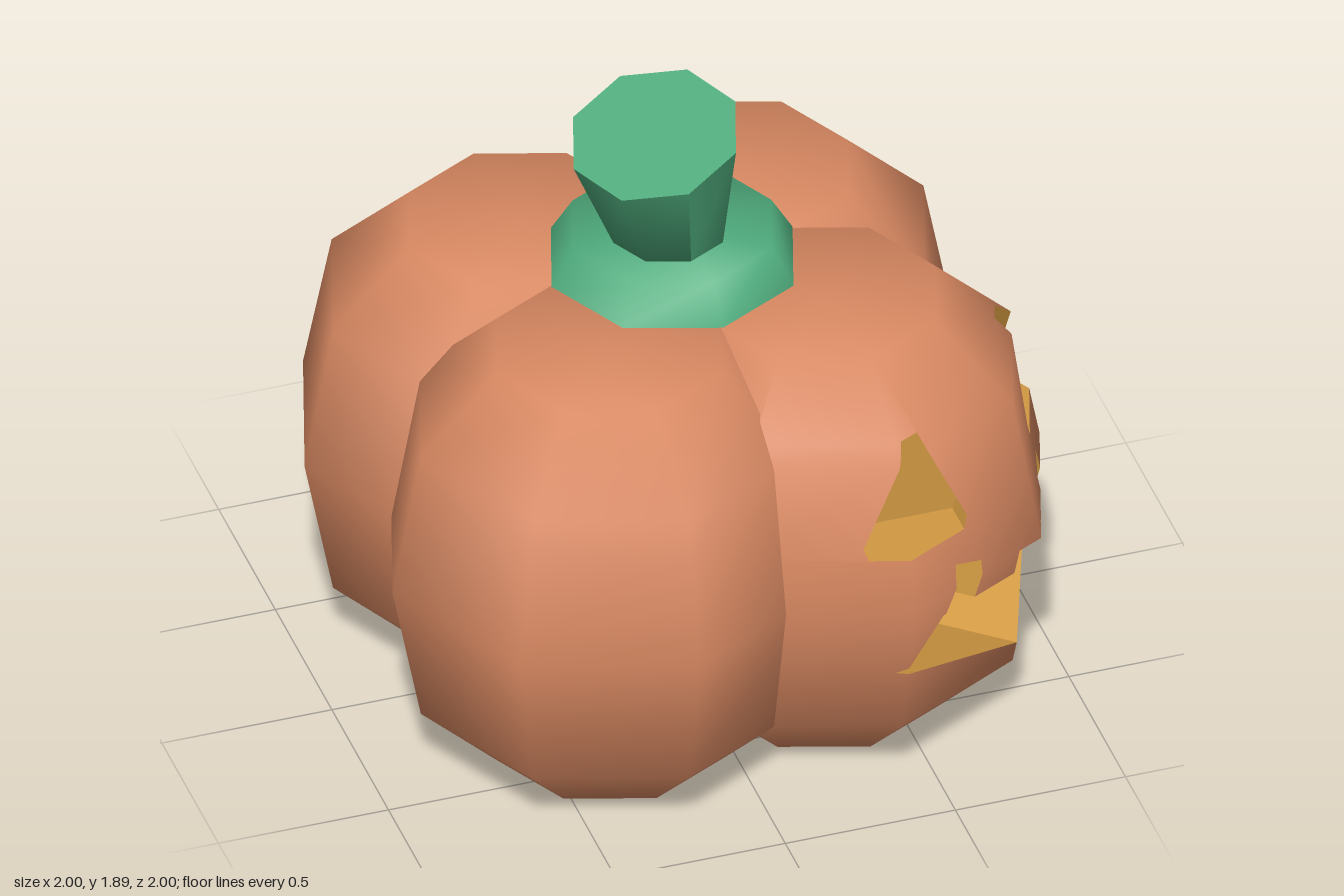
import * as THREE from 'three';
import { toCreasedNormals } from 'three/addons/utils/BufferGeometryUtils.js';

const V = (x, y, z) => new THREE.Vector3(x, y, z);
const UP = V(0, 1, 0);
const TURN = -4.6 * Math.PI / 180; // twist shared by lobes and stem
const CENTRE = V(0.344, 0, 0.3);
const RINGS = [[0.34, 0], [0.57, 0.225], [0.656, 0.667], [0.57, 1.11], [0.34, 1.333]];

// Corner of an eight-sided ring
const spoke = (k) => V(Math.cos(TURN + k * Math.PI / 4), 0, Math.sin(TURN + k * Math.PI / 4));
const vert = (p, n) => ({ p, n });

// Faces of one lobe: smooth sides and top, flat base
function lobeFaces() {
  const slope = (i) => { // outward normal of band i as [radial, up]
    const [r0, y0] = RINGS[i], [r1, y1] = RINGS[i + 1];
    const l = Math.hypot(y1 - y0, r0 - r1);
    return [(y1 - y0) / l, (r0 - r1) / l];
  };
  const point = (i, k) => {
    const a = i > 0 ? slope(i - 1) : slope(0);
    const b = i < 4 ? slope(i) : [0, 1];
    const n = spoke(k).multiplyScalar(a[0] + b[0]).addScaledVector(UP, a[1] + b[1]).normalize();
    const p = spoke(k).multiplyScalar(RINGS[i][0]).add(CENTRE).setY(RINGS[i][1]);
    return vert(p, n);
  };
  const faces = [], base = [];
  for (let k = 0; k < 8; k++) {
    for (let i = 0; i < 4; i++) {
      faces.push([point(i, k + 1), point(i, k), point(i + 1, k), point(i + 1, k + 1)]);
    }
    faces.push([point(4, k + 1), point(4, k), vert(CENTRE.clone().setY(1.333), UP.clone())]);
    base.push(vert(point(0, k).p, V(0, -1, 0)));
  }
  faces.push(base);
  return faces;
}

// Split a convex polygon by a plane into [outside, inside]
function split(poly, plane) {
  const out = [], inn = [];
  const dist = poly.map((v) => {
    const d = plane.distanceToPoint(v.p);
    return Math.abs(d) < 1e-6 ? 0 : d;
  });
  poly.forEach((a, i) => {
    const j = (i + 1) % poly.length, b = poly[j];
    if (dist[i] >= 0) out.push(a);
    if (dist[i] <= 0) inn.push(a);
    if (dist[i] * dist[j] < 0) {
      const t = dist[i] / (dist[i] - dist[j]);
      const m = vert(a.p.clone().lerp(b.p, t), a.n.clone().lerp(b.n, t).normalize());
      out.push(m);
      inn.push(m);
    }
  });
  return [out, inn];
}

// Part of a polygon inside a convex solid
function clip(poly, planes) {
  for (const pl of planes) {
    poly = split(poly, pl)[1];
    if (poly.length < 3) return [];
  }
  return [poly];
}

// Part of a polygon outside a convex solid
function subtract(poly, planes) {
  const out = [];
  let rest = poly;
  for (const pl of planes) {
    const [o, i] = split(rest, pl);
    if (i.length < 3) return [poly];
    if (o.length > 2) out.push(o);
    rest = i;
  }
  return out;
}

const subtractAll = (faces, cutters) =>
  cutters.reduce((fs, c) => fs.flatMap((f) => subtract(f, c.planes)), faces);

// Carving prism: counter-clockwise outline [across, height] pushed along an axis
function prism(outline, origin, axis, depth) {
  const across = UP.clone().cross(axis);
  const at = ([u, y], d) => origin.clone().addScaledVector(across, u).addScaledVector(axis, d).setY(y);
  const planes = [], walls = [];
  outline.forEach((a, i) => {
    const b = outline[(i + 1) % outline.length];
    const inward = across.clone().multiplyScalar(a[1] - b[1]).addScaledVector(UP, b[0] - a[0]).normalize();
    planes.push(new THREE.Plane().setFromNormalAndCoplanarPoint(inward.clone().negate(), at(a, 0)));
    walls.push([at(a, 1.5), at(b, 1.5), at(b, depth), at(a, depth)].map((p) => vert(p, inward)));
  });
  planes.push(new THREE.Plane().setFromNormalAndCoplanarPoint(axis.clone().negate(), at(outline[0], depth)));
  return { planes, walls, back: outline.map((o) => vert(at(o, depth), axis)) };
}

// Turn convex polygons into a geometry
function toGeometry(faces) {
  const pos = [], nor = [];
  for (const f of faces) {
    for (let i = 1; i < f.length - 1; i++) {
      for (const v of [f[0], f[i], f[i + 1]]) {
        pos.push(...v.p.toArray());
        nor.push(...v.n.toArray());
      }
    }
  }
  const g = new THREE.BufferGeometry();
  g.setAttribute('position', new THREE.Float32BufferAttribute(pos, 3));
  g.setAttribute('normal', new THREE.Float32BufferAttribute(nor, 3));
  return g;
}

export function createModel() {
  const skin = new THREE.MeshStandardMaterial({ color: 0xd98962 });
  skin.name = 'pumpkinOrange';
  const flesh = new THREE.MeshStandardMaterial({ color: 0xd29a42 });
  flesh.name = 'carvedYellow';
  const green = new THREE.MeshStandardMaterial({ color: 0x50ad7e });
  green.name = 'stemGreen';

  const model = new THREE.Group();
  model.name = 'carvedPumpkin';
  const add = (name, geometry, material) => {
    const mesh = new THREE.Mesh(geometry, material);
    mesh.name = name;
    model.add(mesh);
    return mesh;
  };

  // Carved face: two eyes and a mouth with three notches
  const O = V(0, 0, 0);
  const facing = spoke(1);
  const eye = (mid, axis, depth) => prism(
    [[-0.15, 0.83], [0.15, 0.83], [0.163, 0.865], [0.026, 1.16], [-0.03, 1.16], [-0.163, 0.865]]
      .map(([u, y]) => [u + mid, y]), O, axis, depth);
  const mouthPiece = (outline) => prism(outline, CENTRE, facing, 0.2);
  const carvings = {
    rightEye: [eye(0.434, V(0, 0, 1), 0.72)],
    leftEye: [eye(-0.302, V(1, 0, 0), 0.776)],
    mouth: [
      mouthPiece([[-0.446, 0.435], [0, 0.29], [0.446, 0.435], [0.34, 0.59], [-0.34, 0.59]]),
      mouthPiece([[-0.08, 0.57], [0.08, 0.57], [0.08, 0.67], [-0.08, 0.67]]),
      mouthPiece([[-0.335, 0.57], [-0.228, 0.57], [-0.21, 0.71], [-0.295, 0.74]]),
      mouthPiece([[0.228, 0.57], [0.335, 0.57], [0.295, 0.74], [0.21, 0.71]]),
    ],
  };

  // Four lobes, the first one carved
  const faces = lobeFaces();
  const hull = faces.map((f) => new THREE.Plane().setFromCoplanarPoints(f[0].p, f[1].p, f[2].p));
  add('faceLobe', toGeometry(subtractAll(faces, Object.values(carvings).flat())), skin);
  const plain = toGeometry(faces);
  for (let i = 1; i < 4; i++) add('lobe' + i, plain, skin).rotation.y = i * Math.PI / 2;

  // Inner walls of the carvings, trimmed to the lobe surface
  for (const [name, pieces] of Object.entries(carvings)) {
    const inner = pieces.flatMap((c) => {
      const walls = c.walls.flatMap((w) => clip(w, hull));
      return [...subtractAll(walls, pieces.filter((o) => o !== c)), ...clip(c.back, hull)];
    });
    add(name, toGeometry(inner), flesh);
  }

  // Stem collar, smooth over its rim
  const collar = new THREE.CylinderGeometry(0.3, 0.365, 0.112, 8);
  collar.rotateY(-TURN);
  add('stemCollar', toCreasedNormals(collar, 1.2), green).position.y = 1.389;

  // Leaning stem that widens to a slanted cut
  const stem = new THREE.CylinderGeometry(0.245, 0.165, 0.385, 8);
  stem.rotateY(-TURN);
  const p = stem.attributes.position;
  for (let i = 0; i < p.count; i++) {
    const x = p.getX(i), z = p.getZ(i);
    if (p.getY(i) > 0) p.setXYZ(i, x - 0.08, 1.83 + 0.177 * (x - z), z + 0.085);
    else p.setXYZ(i, x - 0.018, 1.444, z + 0.018);
  }
  add('stem', toCreasedNormals(stem, 1.2), green);

  return model;
}
